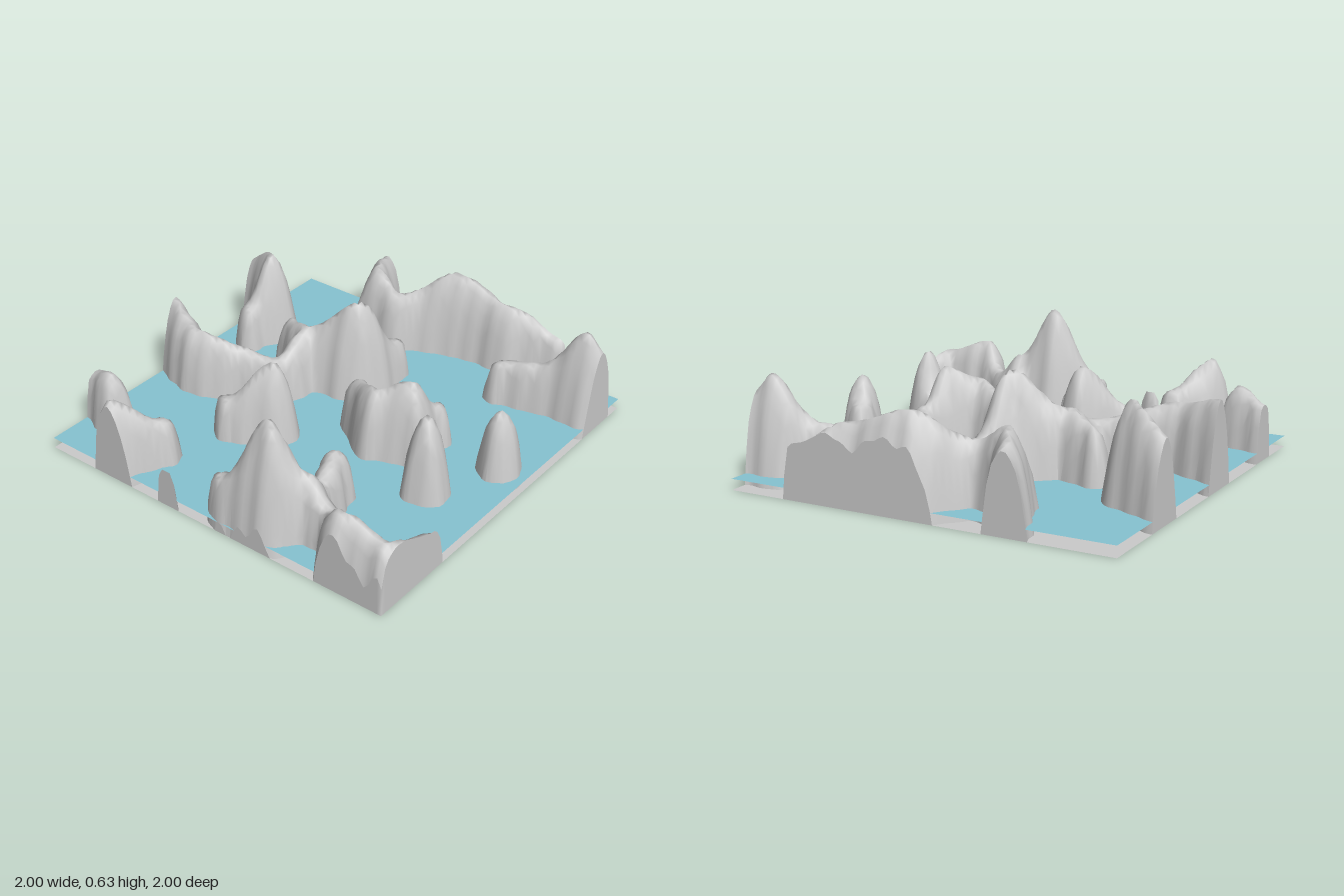
import * as THREE from 'three';
import { mergeVertices } from 'three/addons/utils/BufferGeometryUtils.js';

const N = 84; // grid cells per side
const WATER_Y = 0.055;
const WALL = 0.24; // height of the steep foot of each ridge

// Ridge lines of the islands: points of [x, z, height]
const ridges = [
  // back range
  [[-0.48, -1.05, 0.38], [-0.38, -0.78, 0.44], [-0.2, -0.76, 0.35], [0.04, -0.93, 0.49], [0.36, -0.94, 0.4], [0.62, -1.02, 0.28]],
  // back right ridge
  [[0.52, -0.64, 0.27], [0.7, -0.71, 0.3], [0.91, -0.77, 0.53], [1.05, -0.8, 0.4]],
  // left headland
  [[-1.05, -0.55, 0.38], [-0.8, -0.43, 0.53], [-0.82, -0.25, 0.28]],
  // central forked island and its long arm to the left edge
  [[-0.52, -0.24, 0.33], [-0.34, -0.17, 0.38], [-0.1, -0.28, 0.56], [-0.03, -0.48, 0.26]],
  [[-0.34, -0.17, 0.38], [-0.37, 0.05, 0.28], [-0.77, 0.21, 0.38], [-1.02, 0.09, 0.44]],
  // right island and its tail
  [[0.11, 0, 0.33], [0.28, 0.1, 0.4], [0.45, 0.02, 0.46], [0.48, -0.13, 0.28]],
  [[0.59, 0.14, 0.25], [0.68, 0.23, 0.48]],
  // small islands
  [[0.8, -0.21, 0.27], [0.86, -0.12, 0.4]],
  [[-0.36, 0.44, 0.26], [-0.17, 0.31, 0.47]],
  [[0.02, 0.56, 0.25]],
  // front right massif and its branch
  [[0.04, 0.92, 0.26], [0.28, 0.86, 0.63], [0.44, 0.79, 0.38], [0.58, 0.82, 0.26], [0.72, 0.93, 0.4], [0.97, 0.92, 0.33],
    [1.04, 0.6, 0.22]],
  [[0.38, 0.52, 0.32], [0.43, 0.74, 0.27]],
  // front left ridges
  [[-1.05, 0.68, 0.28], [-0.84, 0.73, 0.36]],
  [[-0.46, 0.78, 0.28], [-0.6, 0.98, 0.43]],
  // islet cut by the front edge
  [[-0.24, 1.02, 0.2]],
];

const radius = (h) => 0.02 + 0.23 * h; // taller ridges are wider
const smooth = (t) => t * t * (3 - 2 * t);
const clamp = (t) => Math.min(1, Math.max(0, t));

// Returns t (positive on land) and the height y at a ground position
function sample(x, z) {
  const px = x + 0.008 * Math.sin(23 * z + 5 * x) + 0.004 * Math.sin(61 * z);
  const pz = z + 0.008 * Math.sin(21 * x - 4 * z) + 0.004 * Math.sin(57 * x);
  let best = -10, y = 0;
  for (const line of ridges) {
    for (let i = 0; i < Math.max(1, line.length - 1); i++) {
      const [ax, az, ah] = line[i], [bx, bz, bh] = line[i + 1] ?? line[i];
      const dx = bx - ax, dz = bz - az;
      const k = clamp(((px - ax) * dx + (pz - az) * dz) / (dx * dx + dz * dz || 1));
      const d = Math.hypot(px - ax - k * dx, pz - az - k * dz);
      const h = ah + (bh - ah) * smooth(k);
      const t = 1 - d / radius(h);
      best = Math.max(best, t);
      if (t > 0) {
        const foot = 1 - (1 - Math.min(1, t / 0.5)) ** 2;
        y = Math.max(y, Math.min(h, WALL) * foot + Math.max(0, h - WALL) * smooth(t));
      }
    }
  }
  return { x, z, t: best, y };
}

// Keeps the part of a polygon on one side of the shoreline
function clip(poly, sign) {
  const out = [];
  poly.forEach((p, i) => {
    const q = poly[(i + 1) % poly.length];
    if (p.t * sign > 0) out.push(p);
    if (p.t * q.t < 0) {
      const k = p.t / (p.t - q.t);
      out.push({ x: p.x + (q.x - p.x) * k, z: p.z + (q.z - p.z) * k, t: 0, y: 0 });
    }
  });
  return out;
}

function fan(target, pts) {
  for (let i = 1; i + 1 < pts.length; i++) {
    for (const p of [pts[0], pts[i], pts[i + 1]]) target.push(p.x, p.y, p.z);
  }
}

function toMesh(name, positions) {
  let g = new THREE.BufferGeometry();
  g.setAttribute('position', new THREE.Float32BufferAttribute(positions, 3));
  g = mergeVertices(g, 1e-5);
  g.computeVertexNormals();
  const mesh = new THREE.Mesh(g, new THREE.MeshStandardMaterial({ color: 0xcccccc, side: THREE.DoubleSide }));
  mesh.name = name;
  return mesh;
}

// True when both points lie on the same border of the square
const onEdge = (p, q) => ['x', 'z'].some((a) => Math.abs(Math.abs(p[a]) - 1) < 1e-6 && Math.abs(p[a] - q[a]) < 1e-6);

export function createModel() {
  const group = new THREE.Group();
  group.name = 'islandLandscape';

  const grid = [];
  for (let j = 0; j <= N; j++) {
    for (let i = 0; i <= N; i++) grid.push(sample(-1 + (2 * i) / N, -1 + (2 * j) / N));
  }

  const land = [], bed = [], cut = [];
  for (let j = 0; j < N; j++) {
    for (let i = 0; i < N; i++) {
      const a = grid[j * (N + 1) + i], b = grid[(j + 1) * (N + 1) + i];
      const c = grid[(j + 1) * (N + 1) + i + 1], d = grid[j * (N + 1) + i + 1];
      const tris = (i + j) % 2 ? [[a, b, c], [a, c, d]] : [[a, b, d], [b, c, d]];
      for (const tri of tris) {
        const top = clip(tri, 1);
        fan(land, top);
        fan(bed, clip(tri, -1).map((p) => ({ ...p, y: 0 })));
        // flat vertical faces where land meets the border
        top.forEach((p, k) => {
          const q = top[(k + 1) % top.length];
          if (onEdge(p, q)) fan(cut, [{ ...p, y: 0 }, { ...q, y: 0 }, q, p]);
        });
      }
    }
  }

  group.add(toMesh('mountains', land));
  group.add(toMesh('lakeBed', bed));
  group.add(toMesh('cutFaces', cut));

  // water sheet above the lake bed
  const water = new THREE.Mesh(
    new THREE.PlaneGeometry(2, 2).rotateX(-Math.PI / 2),
    new THREE.MeshStandardMaterial({ color: 0x87c3d2, side: THREE.DoubleSide }),
  );
  water.name = 'water';
  water.position.y = WATER_Y;
  group.add(water);
  return group;
}
